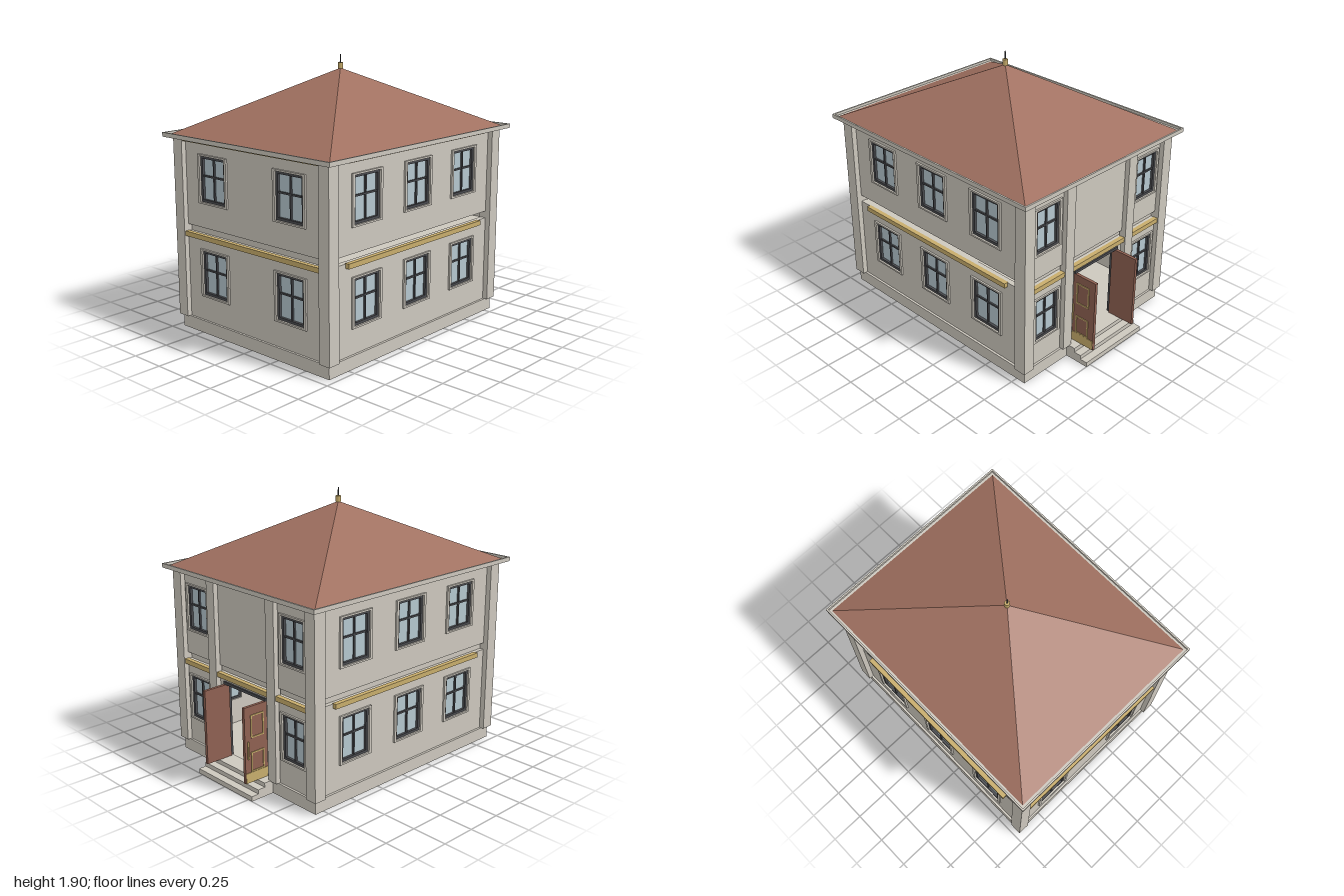
import * as THREE from 'three';

const mat = (name, color) => Object.assign(new THREE.MeshStandardMaterial({ color }), { name });

export function createModel() {
  const stone = mat('stone', 0xcdc8be);
  const tile = mat('roof tile', 0xa07060);
  const dark = mat('dark frame', 0x48494d);
  const glass = mat('window glass', 0xb5c7cf);
  const gold = mat('gold trim', 0xc8ad6c);
  const wood = mat('door wood', 0x8f6152);

  const model = new THREE.Group();
  model.name = 'house';
  const CX = -0.055; // centre of the building along x

  const add = (parent, name, geo, material, x = 0, y = 0, z = 0) => {
    const m = new THREE.Mesh(geo, material);
    m.name = name;
    m.position.set(x, y, z);
    parent.add(m);
    return m;
  };
  // box given by its minimum and maximum corners
  const box = (parent, name, material, x0, x1, y0, y1, z0, z1) =>
    add(parent, name, new THREE.BoxGeometry(x1 - x0, y1 - y0, z1 - z0), material,
      (x0 + x1) / 2, (y0 + y1) / 2, (z0 + z1) / 2);
  const trace = (p, [x0, x1, y0, y1]) =>
    p.moveTo(x0, y0).lineTo(x1, y0).lineTo(x1, y1).lineTo(x0, y1).closePath();
  // upright panel with rectangular holes
  const panel = (parent, name, material, rect, holes, z0, depth) => {
    const s = trace(new THREE.Shape(), rect);
    holes.forEach(h => s.holes.push(trace(new THREE.Path(), h)));
    return add(parent, name, new THREE.ExtrudeGeometry(s, { depth, bevelEnabled: false }),
      material, 0, 0, z0);
  };
  // flat horizontal ring
  const ring = (name, hx, hz, wall, y, h) => {
    const m = panel(model, name, stone, [-hx, hx, -hz, hz],
      [[-hx + wall, hx - wall, -hz + wall, hz - wall]], 0, h);
    m.rotation.x = -Math.PI / 2;
    m.position.set(CX, y, 0);
  };

  // window: stone surround, dark frame, pane and glazing bars
  const windowUnit = (side, x, y0, w) => {
    const g = new THREE.Group();
    g.name = 'window';
    g.position.set(x, y0, 0);
    side.add(g);
    const a = w / 2 - 0.02, h = 0.34, b = 0.012, f = 0.018;
    const hole = [-a, a, b, h - b];
    const pane = [-a + f, a - f, b + f, h - b - f];
    panel(g, 'windowSurround', stone, [-w / 2, w / 2, 0, h], [hole], -0.005, 0.018);
    panel(g, 'windowFrame', dark, hole, [pane], -0.03, 0.03);
    box(g, 'windowPane', glass, pane[0], pane[1], pane[2], pane[3], -0.026, -0.018);
    box(g, 'verticalBar', dark, -0.006, 0.006, pane[2], pane[3], -0.02, -0.006);
    box(g, 'crossBar', dark, pane[0], pane[1], 0.185, 0.197, -0.02, -0.007);
    return [x - a, x + a, y0 + b, y0 + h - b];
  };

  // one facade: local z points outward, wall face at local z = 0
  const facade = (name, turn, x, z, half, wins, w, trims, door, open) => {
    const g = new THREE.Group();
    g.name = name;
    g.position.set(x, 0, z);
    g.rotation.y = turn;
    model.add(g);
    const low = wins.map(p => windowUnit(g, p, 0.265, w));
    const high = wins.map(p => windowUnit(g, p, 0.925, w));
    if (door) low.push([-0.22, 0.22, 0.095, 0.65]);
    panel(g, 'lowerWall', stone, [-half, half, 0.05, 0.705], low, -0.04, 0.04);
    panel(g, 'upperWall', stone, [-half, half, 0.755, 1.36], high, -0.04, 0.04);
    if (!open) box(g, 'recessedBelt', stone, -half, half, 0.7, 0.76, -0.04, -0.03);
    trims.forEach(([a, b]) => {
      box(g, 'beltTrim', gold, a, b, 0.675, 0.709, -0.005, 0.028);
      box(g, 'topTrim', gold, a, b, 1.338, 1.356, -0.005, 0.028);
    });
    return g;
  };
  const long = [-0.51, 0, 0.51];
  facade('frontFacade', 0, CX, 0.685, 0.86, long, 0.285, [[-0.705, 0.705]], false, true);
  facade('backFacade', Math.PI, CX, -0.685, 0.86, long, 0.285, [[-0.705, 0.705]]);
  facade('plainSide', -Math.PI / 2, -0.915, 0, 0.645, [-0.36, 0.36], 0.285, [[-0.635, 0.635]]);
  const entrance = facade('entranceSide', Math.PI / 2, 0.805, 0, 0.645, [-0.49, 0.49], 0.25,
    [[-0.635, -0.345], [-0.265, 0.265], [0.345, 0.635]], true);

  // plinth, floors and interior stair rail glimpsed through the belt gap
  ring('plinth', 0.875, 0.702, 0.045, 0, 0.09);
  box(model, 'groundFloor', stone, -0.9, 0.79, 0.05, 0.09, -0.67, 0.67);
  box(model, 'upperFloor', stone, -0.88, 0.77, 0.67, 0.7, -0.648, 0.648);
  const rail = box(model, 'stairRail', dark, -0.3, -0.16, 0.722, 0.736, 0.5, 0.515);
  rail.rotation.z = 0.6;
  box(model, 'railPost', dark, -0.125, -0.113, 0.7, 0.8, 0.5, 0.512);

  // corner pilasters, plus two beside the entrance
  for (const s of [-1, 1]) {
    for (const x of [-0.905, 0.795])
      add(model, 'cornerPilaster', new THREE.BoxGeometry(0.09, 1.27, 0.087), stone, x, 0.725, s * 0.679);
    add(entrance, 'entrancePilaster', new THREE.BoxGeometry(0.08, 1.27, 0.05), stone, s * 0.305, 0.725, 0.01);
  }

  // cornice with raised rim, and hipped roof rising inside it
  add(model, 'soffit', new THREE.BoxGeometry(1.88, 0.012, 1.54), stone, CX, 1.364, 0);
  ring('corniceRim', 0.945, 0.775, 0.012, 1.358, 0.03);
  const roofGeo = new THREE.ConeGeometry(Math.SQRT1_2, 0.442, 4, 1).toNonIndexed();
  roofGeo.rotateY(Math.PI / 4).scale(1.86, 1, 1.52);
  roofGeo.computeVertexNormals();
  add(model, 'hippedRoof', roofGeo, tile, CX, 1.584, 0);

  // finial
  add(model, 'finialBase', new THREE.CylinderGeometry(0.018, 0.018, 0.042, 16), gold, CX, 1.822, 0);
  add(model, 'finialSpike', new THREE.CylinderGeometry(0.004, 0.005, 0.06, 8), dark, CX, 1.87, 0);

  // entrance steps
  [[1, 0.035], [0.945, 0.065], [0.89, 0.095]].forEach(([x, y], i) =>
    box(model, 'step', stone, 0.79, x, i ? y - 0.03 : 0, y, -0.287, 0.287));

  // door frame
  box(entrance, 'doorLintel', dark, -0.22, 0.22, 0.63, 0.65, -0.045, 0.012);
  for (const s of [-1, 1])
    box(entrance, 'doorJamb', dark, s * 0.214 - 0.006, s * 0.214 + 0.006, 0.095, 0.63, -0.045, -0.002);

  // door leaves standing open, with trim on the outer faces
  for (const s of [-1, 1]) {
    const leaf = new THREE.Group();
    leaf.name = 'doorLeaf';
    leaf.position.z = s * 0.207;
    if (s < 0) {
      leaf.rotation.y = Math.PI;
      leaf.position.x = 1.774;
    }
    model.add(leaf);
    box(leaf, 'doorBoard', wood, 0.784, 0.99, 0.096, 0.63, -0.011, 0.011);
    for (const [y0, y1] of [[0.17, 0.31], [0.41, 0.57]])
      panel(leaf, 'doorPanelTrim', gold, [0.833, 0.941, y0, y1],
        [[0.842, 0.932, y0 + 0.009, y1 - 0.009]], 0.01, 0.006);
    box(leaf, 'kickPlate', gold, 0.787, 0.987, 0.098, 0.168, 0.01, 0.015);
    box(leaf, 'doorHandle', gold, 0.803, 0.813, 0.265, 0.39, 0.01, 0.02);
  }
  return model;
}
